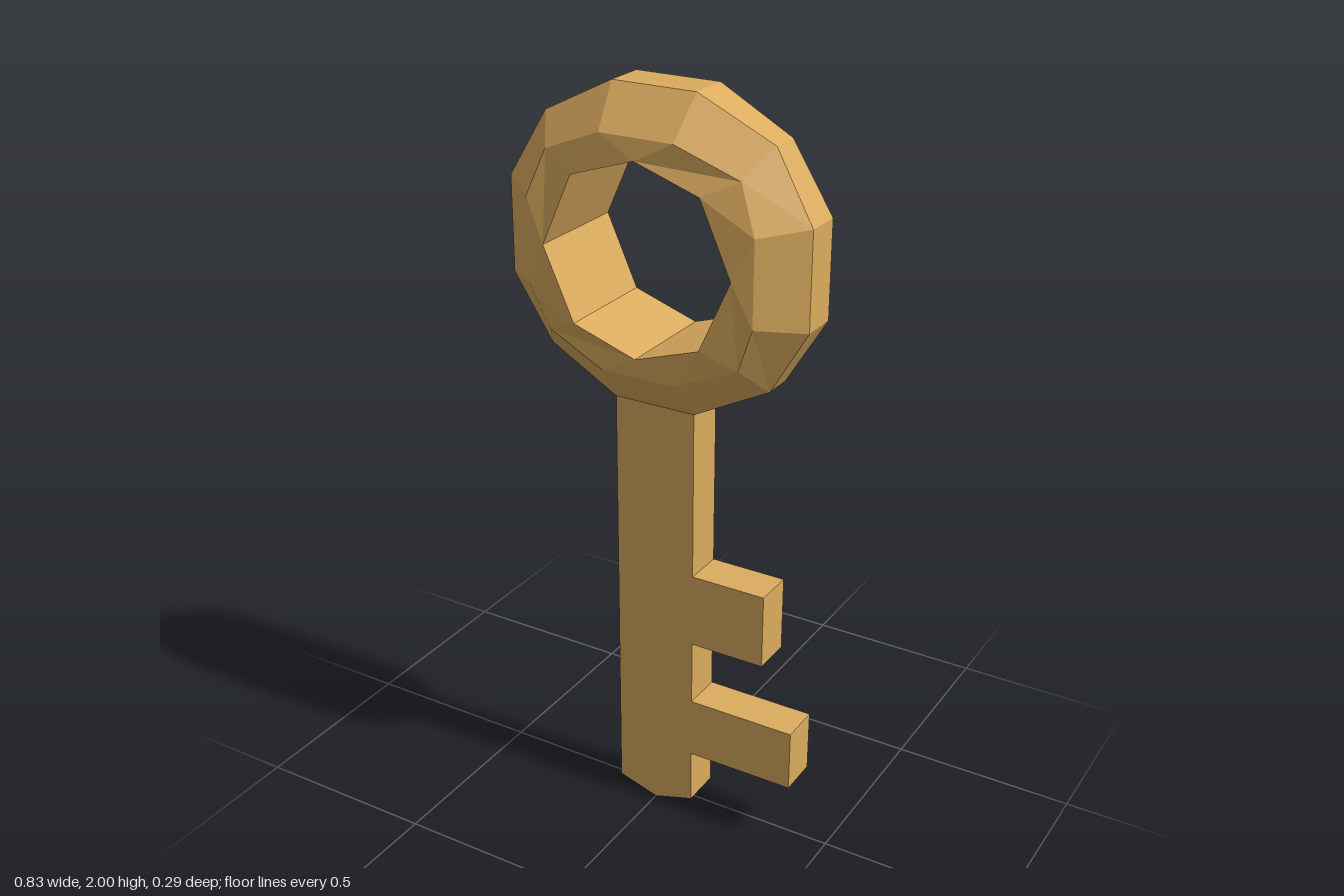
import * as THREE from 'three';

const brass = new THREE.MeshStandardMaterial({ color: 0xdcac5f });
brass.name = 'brass';

// Mirrors a quarter of a loop (angles 0 to 90 degrees) into all four quadrants
function fullLoop(quarter, side) {
  const flip = (sx, sy) => quarter.map(([x, y, z]) => new THREE.Vector3(x * sx, y * sy, z * side));
  return [...flip(1, 1), ...flip(-1, 1).reverse(), ...flip(-1, -1), ...flip(1, -1).reverse()];
}

// Faceted ring: twelve sides outside, eight sides inside
function bowGeometry() {
  const outer = [[0.416, 0.126, 0.05], [0.313, 0.3, 0.04], [0.114, 0.4, 0.055]];
  const shoulder = [[0.312, 0.11, 0.135], [0.265, 0.23, 0.115], [0.1, 0.297, 0.137]];
  const hole = [[0.259, 0, 0.146], [0.175, 0.187, 0.146], [0, 0.245, 0.146]];
  const loops = [
    fullLoop(outer, 1), fullLoop(shoulder, 1), fullLoop(hole, 1),
    fullLoop(hole, -1), fullLoop(shoulder, -1), fullLoop(outer, -1),
  ];
  const points = [];
  const triangle = (a, b, c) => {
    if (new THREE.Triangle(a, b, c).getArea() > 1e-7) points.push(a, b, c);
  };
  loops.forEach((loop, j) => {
    const next = loops[(j + 1) % loops.length];
    for (let i = 0; i < 12; i++) {
      const k = (i + 1) % 12;
      triangle(loop[i], loop[k], next[k]);
      triangle(loop[i], next[k], next[i]);
    }
  });
  const geometry = new THREE.BufferGeometry().setFromPoints(points);
  geometry.computeVertexNormals();
  return geometry;
}

// Flat outline of the shank with its pointed tip and two teeth
function shankGeometry() {
  const outline = [
    [0, 0], [0.113, 0.034], [0.113, 0.185], [0.41, 0.185], [0.41, 0.355], [0.113, 0.355],
    [0.113, 0.535], [0.32, 0.535], [0.32, 0.74], [0.113, 0.74],
    [0.113, 1.2], [-0.113, 1.2], [-0.113, 0.034],
  ];
  const shape = new THREE.Shape(outline.map(([x, y]) => new THREE.Vector2(x, y)));
  return new THREE.ExtrudeGeometry(shape, { depth: 0.11, bevelEnabled: false }).translate(0, 0, -0.055);
}

export function createModel() {
  const key = new THREE.Group();
  key.name = 'key';

  const bow = new THREE.Mesh(bowGeometry(), brass);
  bow.name = 'bow';
  bow.position.y = 1.6;

  const shank = new THREE.Mesh(shankGeometry(), brass);
  shank.name = 'shankWithTeeth';

  key.add(bow, shank);
  return key;
}
